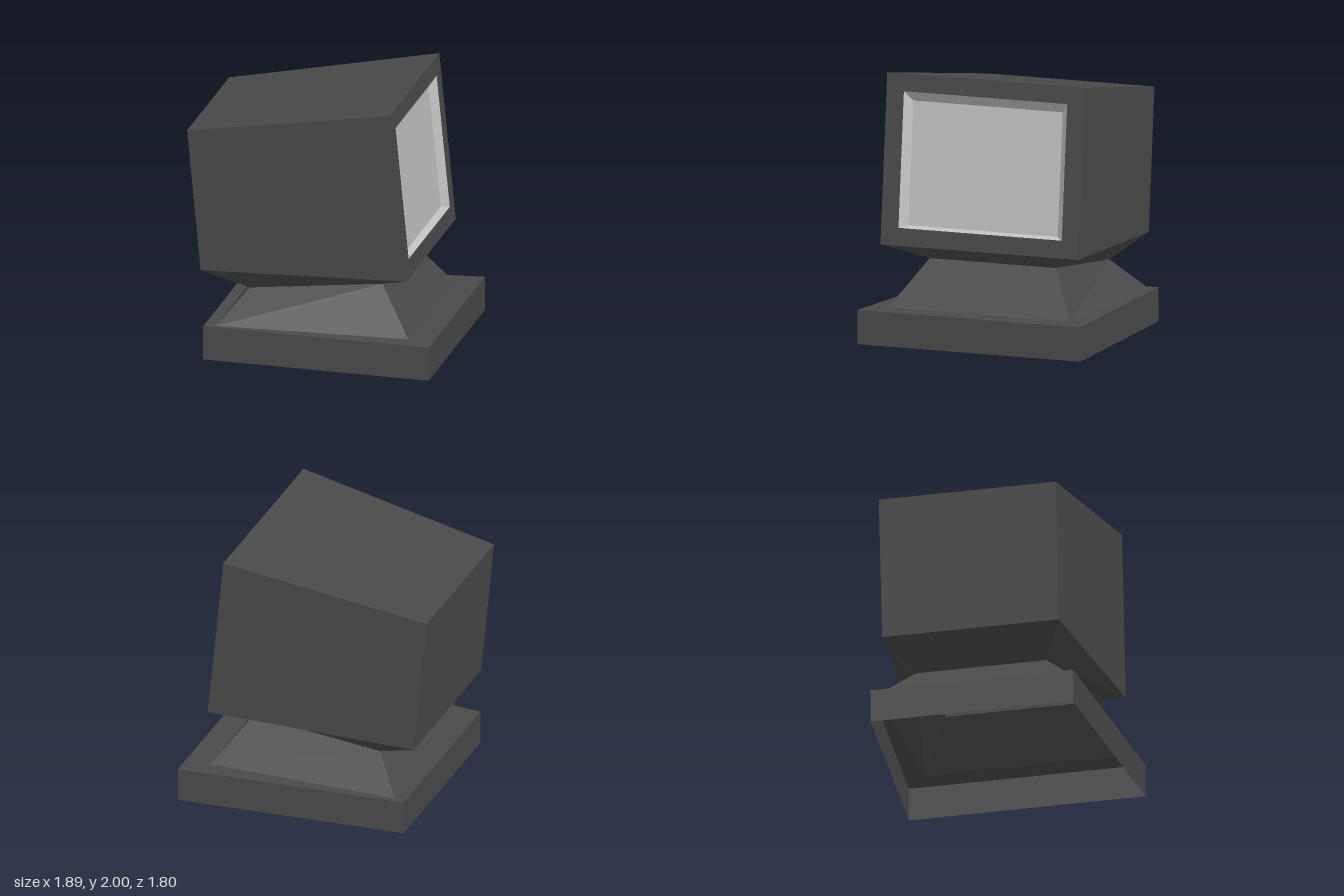
import * as THREE from 'three';

const casing = new THREE.MeshStandardMaterial({ color: 0x4a4a4a, side: THREE.DoubleSide });
casing.name = 'dark grey casing';
const glass = new THREE.MeshStandardMaterial({ color: 0xc1c1c1, side: THREE.DoubleSide });
glass.name = 'light grey screen';

// Four-cornered rings: level runs back to front, upright runs bottom to top
const level = (xBack, yBack, hBack, xFront, yFront, hFront) => [
  [xBack, yBack, hBack], [xFront, yFront, hFront], [xFront, yFront, -hFront], [xBack, yBack, -hBack],
];
const upright = (xLow, yLow, xHigh, yHigh, h) => [
  [xLow, yLow, h], [xLow, yLow, -h], [xHigh, yHigh, -h], [xHigh, yHigh, h],
];

// Flat-sided shell through successive rings, optionally closed at the last ring
function shell(name, material, rings, { cap = false, sides = [0, 1, 2, 3] } = {}) {
  const points = [];
  const quad = (a, b, c, d) => points.push(...a, ...b, ...c, ...a, ...c, ...d);
  for (let r = 0; r < rings.length - 1; r++) {
    const a = rings[r], b = rings[r + 1];
    for (const i of sides) {
      const j = (i + 1) % 4;
      quad(a[i], a[j], b[j], b[i]);
    }
  }
  if (cap) quad(...rings[rings.length - 1]);
  const geometry = new THREE.BufferGeometry();
  geometry.setAttribute('position', new THREE.Float32BufferAttribute(points, 3));
  geometry.computeVertexNormals();
  const mesh = new THREE.Mesh(geometry, material);
  mesh.name = name;
  return mesh;
}

export function createModel() {
  const model = new THREE.Group();
  model.name = 'deskMonitor';

  const baseBottom = level(-0.803, 0, 0.77, 0.945, 0, 0.9);
  const baseTop = level(-0.803, 0.257, 0.77, 0.945, 0.257, 0.9);
  const standFoot = level(-0.715, 0.257, 0.735, 0.75, 0.257, 0.735);
  const neck = level(-0.51, 0.497, 0.5, 0.5, 0.602, 0.51);
  const caseBottom = level(-0.845, 0.66, 0.673, 0.748, 0.725, 0.8);
  const caseTop = level(-0.948, 1.737, 0.673, 0.622, 2, 0.8);

  // Hollow base, open underneath, and tapered stand
  model.add(shell('base', casing, [baseBottom, baseTop, standFoot]));
  model.add(shell('stand', casing, [standFoot, neck]));

  // Tilted case: flared underside, then walls and top with the front left open
  model.add(shell('caseUnderside', casing, [neck, caseBottom]));
  model.add(shell('caseBody', casing, [caseBottom, caseTop], { cap: true, sides: [0, 2, 3] }));

  // Front frame and recessed screen
  const frameOuter = upright(0.748, 0.725, 0.622, 2, 0.8);
  const frameInner = upright(0.735, 0.858, 0.635, 1.87, 0.66);
  const screenEdge = upright(0.68, 0.873, 0.587, 1.796, 0.603);
  model.add(shell('bezel', casing, [frameOuter, frameInner]));
  model.add(shell('screen', glass, [frameInner, screenEdge], { cap: true }));

  return model;
}
